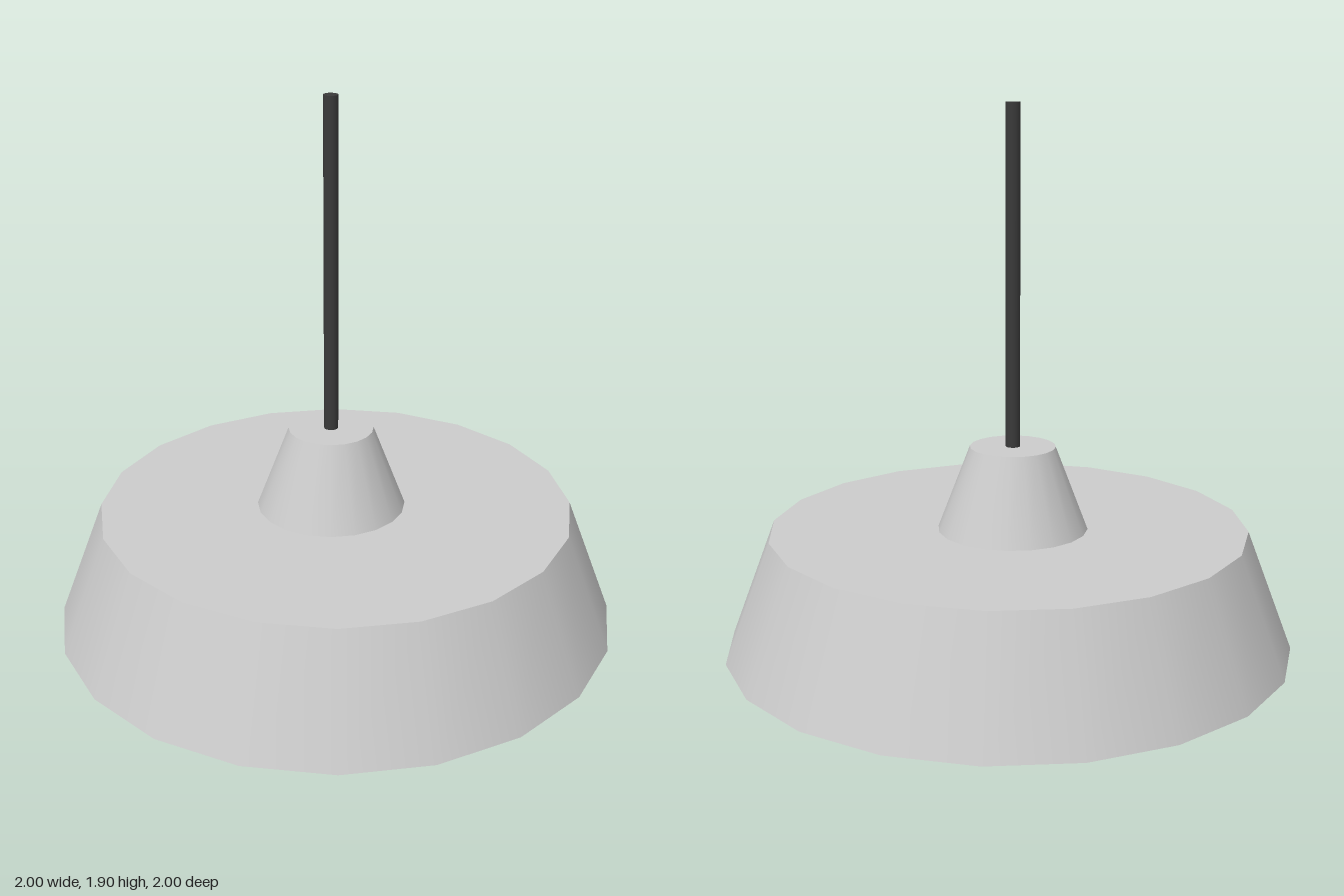
import * as THREE from 'three';

const SIDES = 20;
const AXIS_Z = -0.02; // neck and cord sit slightly behind the shade's centre

export function createModel() {
  const group = new THREE.Group();
  const grey = new THREE.MeshStandardMaterial({ color: 0xcccccc });
  const greyThin = new THREE.MeshStandardMaterial({ color: 0xcccccc, side: THREE.DoubleSide });
  const dark = new THREE.MeshStandardMaterial({ color: 0x3a3a3a });

  function add(name, geometry, material, y, z = 0) {
    const mesh = new THREE.Mesh(geometry, material);
    mesh.name = name;
    mesh.position.set(0, y, z);
    group.add(mesh);
  }

  // Hollow shade, open at the bottom
  const rimR = 1, topR = 0.84, shadeH = 0.425;
  add('shadeWall', new THREE.CylinderGeometry(topR, rimR, shadeH, SIDES, 1, true), greyThin, shadeH / 2);
  add('shadeTop', new THREE.CircleGeometry(topR, SIDES).rotateX(-Math.PI / 2), greyThin, shadeH);

  // Tapered neck standing on the shade
  const neckTop = 0.72, neckH = neckTop - shadeH;
  add('neck', new THREE.CylinderGeometry(0.15, 0.263, neckH, SIDES), grey, shadeH + neckH / 2, AXIS_Z);

  // Hanging cord
  const cordTop = 1.9, cordH = cordTop - neckTop;
  add('cord', new THREE.CylinderGeometry(0.025, 0.025, cordH, SIDES), dark, neckTop + cordH / 2, AXIS_Z);

  return group;
}
